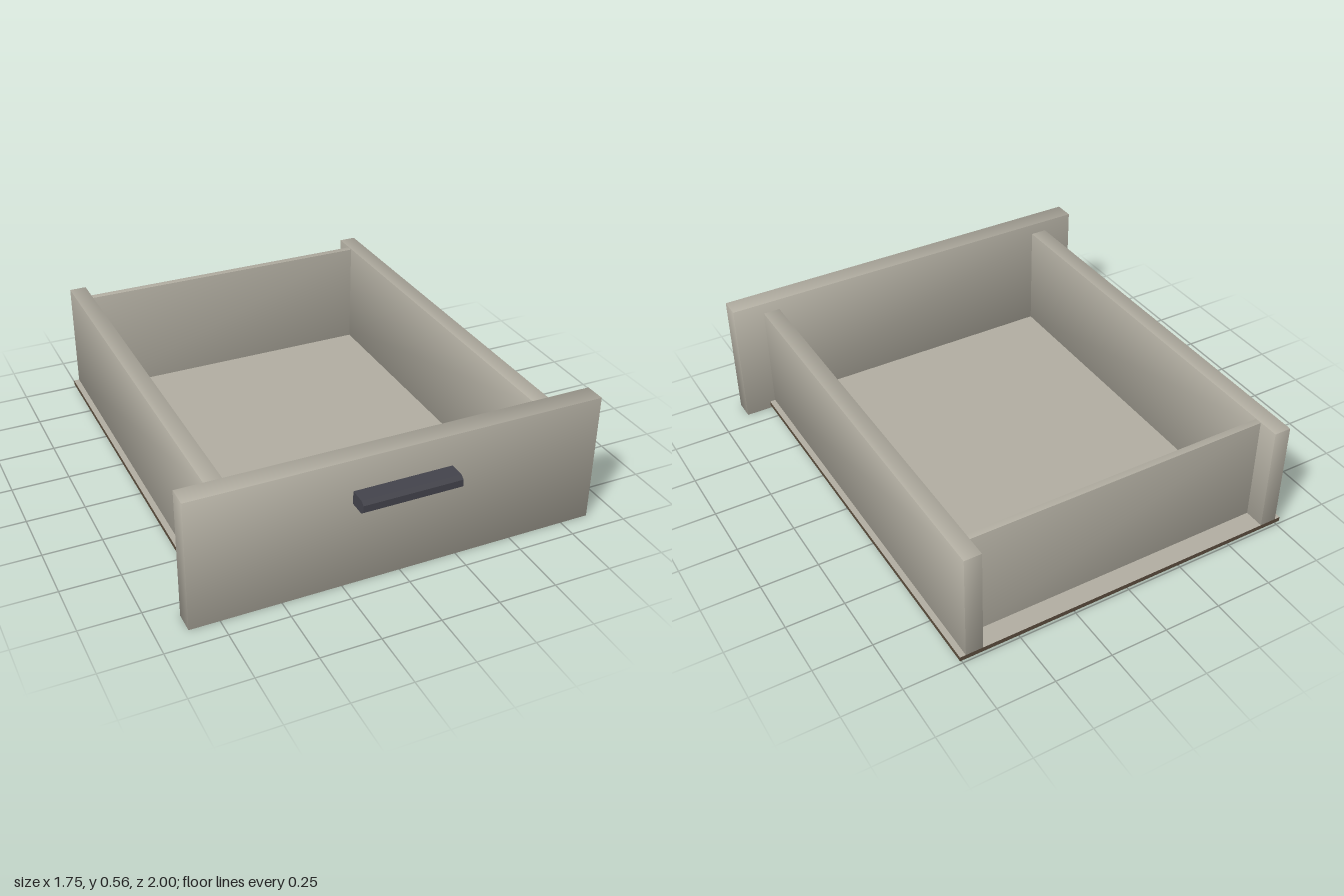
import * as THREE from 'three';

const material = (name, color) => {
  const m = new THREE.MeshStandardMaterial({ color });
  m.name = name;
  return m;
};

export function createModel() {
  const group = new THREE.Group();
  const paint = material('warm grey paint', 0xb0aca0);
  const wood = material('dark brown underside', 0x5a4c3c);
  const metal = material('charcoal handle', 0x43434b);

  // Box between two corners; soft > 0 leans the normals towards the corners for smooth shading
  const addBox = (name, [x0, y0, z0], [x1, y1, z1], mat, soft = 0) => {
    const geo = new THREE.BoxGeometry(x1 - x0, y1 - y0, z1 - z0);
    const pos = geo.attributes.position, nor = geo.attributes.normal;
    for (let i = 0; i < pos.count; i++) {
      const corner = new THREE.Vector3(Math.sign(pos.getX(i)), Math.sign(pos.getY(i)), Math.sign(pos.getZ(i)));
      const n = new THREE.Vector3().fromBufferAttribute(nor, i);
      n.lerp(corner, soft).normalize();
      nor.setXYZ(i, n.x, n.y, n.z);
    }
    const mesh = new THREE.Mesh(geo, mat);
    mesh.name = name;
    mesh.position.set((x0 + x1) / 2, (y0 + y1) / 2, (z0 + z1) / 2);
    group.add(mesh);
    return mesh;
  };

  // Front panel
  addBox('frontPanel', [-0.875, 0, 0.825], [0.875, 0.565, 0.915], paint, 0.5);

  // Side walls
  addBox('leftSide', [0.663, 0.035, -1], [0.737, 0.515, 0.825], paint, 0.4);
  addBox('rightSide', [-0.737, 0.035, -1], [-0.663, 0.515, 0.825], paint, 0.4);

  // Back wall, set in from the ends of the sides
  addBox('backPanel', [-0.663, 0.035, -0.91], [0.663, 0.512, -0.88], paint, 0.2);

  // Base: painted on top, bare wood on the edges and underside
  addBox('base', [-0.762, 0.015, -1], [0.762, 0.035, 0.825], [wood, wood, paint, wood, wood, wood]);

  // Handle: bar with a chamfered front, drawn in (z, y) and extruded along x
  const profile = new THREE.Shape([
    [0.915, 0.372], [0.983, 0.372], [1, 0.385], [1, 0.415], [0.983, 0.428], [0.915, 0.428],
  ].map(([z, y]) => new THREE.Vector2(-z, y)));
  const bar = new THREE.ExtrudeGeometry(profile, { depth: 0.42, bevelEnabled: false });
  bar.rotateY(Math.PI / 2);
  bar.translate(-0.21, 0, 0);
  const handle = new THREE.Mesh(bar, metal);
  handle.name = 'handle';
  group.add(handle);

  return group;
}
